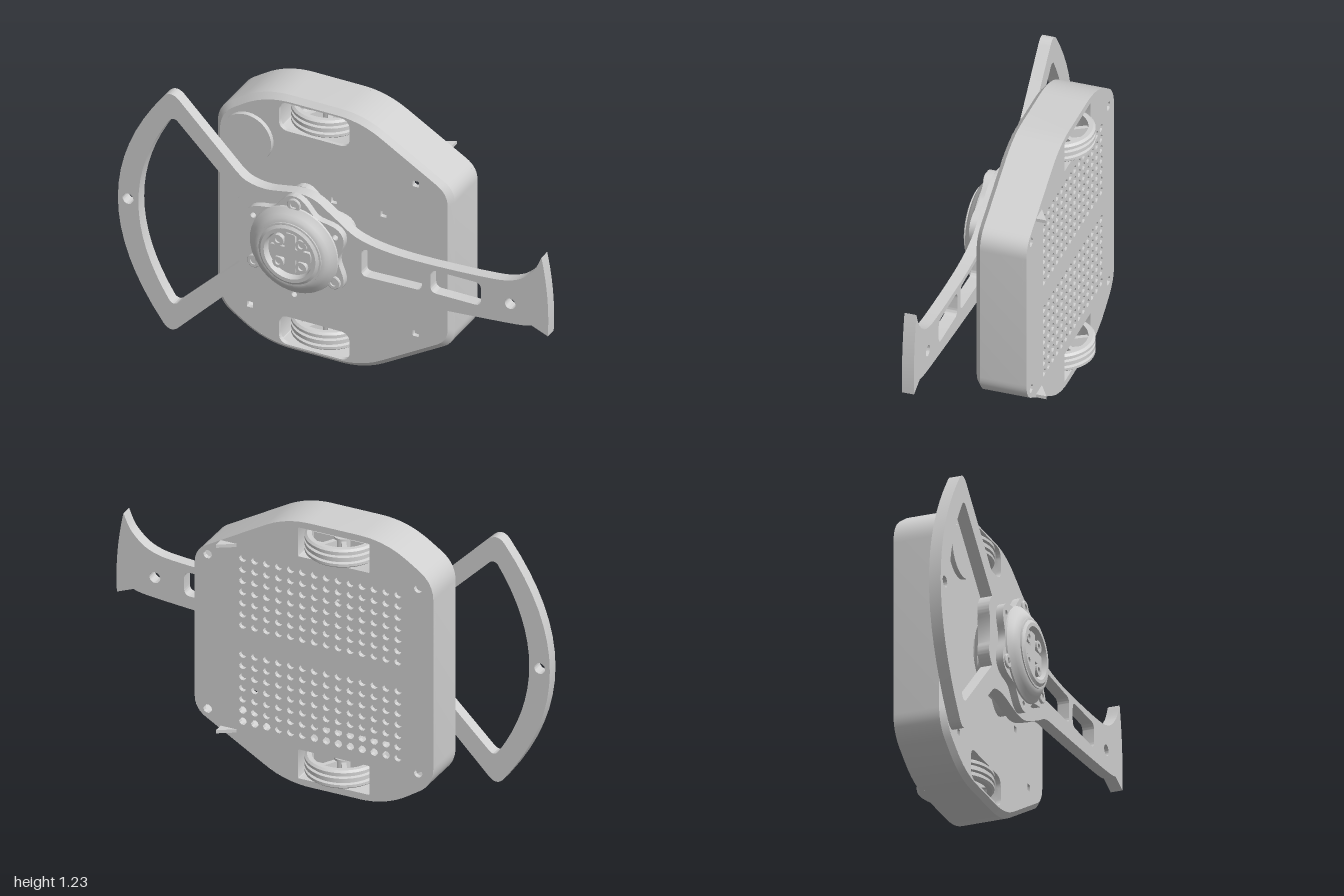
import * as THREE from 'three';
import { toCreasedNormals } from 'three/addons/utils/BufferGeometryUtils.js';

// Double-sided because the body is a thin open shell seen through its holes
const grey = new THREE.MeshStandardMaterial({ color: 0xd0d0d0, side: THREE.DoubleSide });
grey.name = 'light grey';

const MID = 0.615;                    // height of the body's symmetry line
const HUB = [-0.165, 0.622, 0.1475];  // centre of the hub

function add(parent, name, geometry, x = 0, y = 0, z = 0) {
  const mesh = new THREE.Mesh(geometry, grey);
  mesh.name = name;
  mesh.position.set(x, y, z);
  parent.add(mesh);
  return mesh;
}

// Polygon with rounded corners; each point is [x, y, cornerSize]
function roundedPoly(points, path = new THREE.Shape()) {
  const n = points.length;
  points.forEach(([x, y, r], i) => {
    const toward = ([px, py]) => {
      const d = Math.hypot(px - x, py - y);
      return [x + (px - x) * r / d, y + (py - y) * r / d];
    };
    const a = toward(points[(i + n - 1) % n]);
    const b = toward(points[(i + 1) % n]);
    if (i === 0) path.moveTo(...a); else path.lineTo(...a);
    path.quadraticCurveTo(x, y, ...b);
  });
  path.closePath();
  return path;
}

function roundedRect(x0, y0, x1, y1, r, path = new THREE.Path()) {
  return roundedPoly([[x0, y0, r], [x1, y0, r], [x1, y1, r], [x0, y1, r]], path);
}

function circle(x, y, r) {
  return new THREE.Path().absarc(x, y, r, 0, Math.PI * 2, true);
}

// Point at a radius and an angle in degrees
function polar(r, deg) {
  const t = deg * Math.PI / 180;
  return [r * Math.cos(t), r * Math.sin(t)];
}

function extrude(shape, depth, curveSegments = 10) {
  const g = new THREE.ExtrudeGeometry(shape, { depth, curveSegments, bevelEnabled: false });
  return toCreasedNormals(g, 0.6);
}

// Lathe profile of [radius, z] turned about the z axis
function latheZ(profile, segments = 48) {
  const g = new THREE.LatheGeometry(profile.map(p => new THREE.Vector2(...p)), segments);
  return toCreasedNormals(g.rotateX(Math.PI / 2), 0.5);
}

function bodyOutline(inset = 0) {
  const sx = 1 - inset / 0.55, sy = 1 - inset / MID;
  const half = [[0.48, 0.37, 0.06], [0.06, MID, 0.11], [-0.4, MID, 0.12], [-0.62, 0.47, 0.08]];
  const all = [...half, ...half.slice().reverse().map(([x, y, r]) => [x, -y, r])];
  return roundedPoly(all.map(([x, y, r]) => [-0.07 + (x + 0.07) * sx, MID + y * sy, r]));
}

function buildBody() {
  const body = new THREE.Group();
  body.name = 'body';

  // Side wall with a chamfered front edge
  const rings = [[0, -0.19], [0, 0.013], [0.022, 0.035]].map(([inset, z]) =>
    bodyOutline(inset).getPoints(8).map(p => [p.x, p.y, z]));
  const pos = [];
  for (let k = 0; k < 2; k++) {
    const a = rings[k], b = rings[k + 1];
    for (let i = 0; i < a.length; i++) {
      const j = (i + 1) % a.length;
      pos.push(...a[i], ...a[j], ...b[j], ...a[i], ...b[j], ...b[i]);
    }
  }
  const wall = new THREE.BufferGeometry();
  wall.setAttribute('position', new THREE.Float32BufferAttribute(pos, 3));
  add(body, 'sideWall', toCreasedNormals(wall, 0.5));

  const slots = [1.065, 0.03].map(y => [-0.325, y, 0.003, y + 0.135]);

  // Front plate with rounded wheel slots and small square holes
  const front = bodyOutline(0.022);
  slots.forEach(s => front.holes.push(roundedRect(...s, 0.045)));
  [[0.31, 0.98], [0.31, 0.255], [0.16, 0.79], [0.16, 0.455], [-0.07, 0.79], [-0.46, 0.175]].forEach(([x, y]) =>
    front.holes.push(roundedRect(x - 0.014, y - 0.014, x + 0.014, y + 0.014, 0.003)));
  add(body, 'frontPlate', extrude(front, 0.02), 0, 0, 0.015);

  // Back plate with two perforated blocks, corner screw holes and square wheel slots
  const back = bodyOutline();
  slots.forEach(s => back.holes.push(roundedRect(...s, 0.004)));
  for (const side of [-1, 1]) {
    for (let c = 0; c < 14; c++) {
      for (let r = 0; r < 7; r++) {
        back.holes.push(circle(-0.457 + c * 0.055, MID + side * (0.068 + r * 0.052), 0.0175));
      }
    }
    back.holes.push(circle(0.42, MID + side * 0.36, 0.02), circle(-0.55, MID + side * 0.43, 0.02));
  }
  add(body, 'backPlate', extrude(back, 0.02, 5), 0, 0, -0.19);

  // Wheel wells
  slots.forEach(([x0, y0, x1, y1]) => {
    const well = roundedRect(x0 - 0.01, y0 - 0.01, x1 + 0.01, y1 + 0.01, 0.01, new THREE.Shape());
    well.holes.push(roundedRect(x0, y0, x1, y1, 0.004));
    add(body, 'wheelWell', extrude(well, 0.205), 0, 0, -0.185);
  });

  // Round pad on the front and pointed tabs on the back
  const pad = new THREE.CylinderGeometry(0.115, 0.115, 0.025, 40).rotateX(Math.PI / 2);
  add(body, 'roundPad', pad, -0.465, 0.99, 0.0435);
  const tab = new THREE.Shape([[0.27, 0.18], [0.36, 0.18], [0.36, 0.235]].map(p => new THREE.Vector2(...p)));
  for (const y of [1.04, 0.175]) add(body, 'tab', extrude(tab, 0.015).rotateX(-Math.PI / 2), 0, y, 0);
  return body;
}

// Ribbed wheel turning about the y axis
function buildWheel(y, inward) {
  const wheel = new THREE.Group();
  wheel.name = 'wheel';
  const profile = [[0.13, -0.042], [0.15, -0.042], [0.16, -0.034], [0.16, -0.022], [0.148, -0.018],
    [0.148, -0.012], [0.16, -0.008], [0.16, 0.008], [0.148, 0.012], [0.148, 0.018], [0.16, 0.022],
    [0.16, 0.034], [0.15, 0.042], [0.13, 0.042], [0.13, -0.042]];
  const tyre = new THREE.LatheGeometry(profile.map(p => new THREE.Vector2(...p)), 48);
  add(wheel, 'tyre', toCreasedNormals(tyre, 0.5));
  add(wheel, 'wheelHub', new THREE.CylinderGeometry(0.04, 0.04, 0.06, 20));
  for (let i = 0; i < 6; i++) {
    const spoke = new THREE.BoxGeometry(0.11, 0.04, 0.02).translate(0.08, 0, 0);
    add(wheel, 'spoke', spoke).rotation.y = i * Math.PI / 3;
  }
  add(wheel, 'axle', new THREE.CylinderGeometry(0.015, 0.015, 0.08, 12), 0, inward * 0.035, 0);
  wheel.position.set(-0.16, y, -0.1);
  return wheel;
}

// Flat handle plate: open grip on one side, flared arm on the other
function buildHandle() {
  const v = list => list.map(p => new THREE.Vector2(...p));
  const s = new THREE.Shape();
  s.moveTo(-0.79, 1.165);
  s.quadraticCurveTo(-1.21, 0.62, -0.79, 0.07);
  s.quadraticCurveTo(-0.755, 0.024, -0.715, 0.068);
  s.lineTo(-0.45, 0.338);
  s.splineThru(v([[-0.4, 0.374], [-0.31, 0.384], [-0.165, 0.364], [-0.07, 0.372], [0.06, 0.428],
    [0.155, 0.474], [0.275, 0.486], [0.54, 0.505], [0.84, 0.53], [0.92, 0.545]]));
  s.lineTo(0.995, 0.515);
  s.quadraticCurveTo(1.005, 0.7, 0.965, 0.888);
  s.splineThru(v([[0.925, 0.81], [0.84, 0.743], [0.69, 0.717], [0.33, 0.705], [0.125, 0.732],
    [0.01, 0.8], [-0.08, 0.86], [-0.165, 0.875], [-0.31, 0.853], [-0.4, 0.866], [-0.45, 0.9]]));
  s.lineTo(-0.715, 1.166);
  s.quadraticCurveTo(-0.755, 1.206, -0.79, 1.165);

  const grip = new THREE.Path();
  grip.moveTo(-0.76, 1.06);
  grip.quadraticCurveTo(-0.74, 1.08, -0.72, 1.06);
  grip.lineTo(-0.435, 0.78);
  grip.quadraticCurveTo(-0.485, 0.735, -0.46, 0.68);
  grip.lineTo(-0.46, 0.564);
  grip.quadraticCurveTo(-0.485, 0.51, -0.435, 0.465);
  grip.lineTo(-0.72, 0.184);
  grip.quadraticCurveTo(-0.74, 0.165, -0.76, 0.184);
  grip.quadraticCurveTo(-1.05, 0.622, -0.76, 1.06);
  s.holes.push(grip, circle(-0.953, 0.622, 0.025), circle(0.82, 0.622, 0.025),
    roundedPoly([[0.13, 0.56, 0.025], [0.41, 0.568, 0.025], [0.41, 0.68, 0.025], [0.13, 0.692, 0.025]], new THREE.Path()),
    roundedRect(0.45, 0.572, 0.685, 0.682, 0.03));
  const handle = new THREE.Group();
  handle.name = 'handle';
  add(handle, 'handlePlate', extrude(s, 0.052, 16), 0, 0, 0.1215);
  return handle;
}

// One half of the hub, facing +z from the middle of the handle plate
function buildHubHalf() {
  const half = new THREE.Group();
  half.name = 'hubHalf';

  // Six-lobed flange with small holes between the bolts
  const star = [];
  for (let deg = 0; deg < 360; deg += 4) {
    star.push(new THREE.Vector2(...polar(0.229 - 0.026 * Math.cos(deg * Math.PI / 30), deg)));
  }
  const flange = new THREE.Shape(star);
  for (const deg of [30, 150, 270]) flange.holes.push(circle(...polar(0.22, deg), 0.013));
  add(half, 'flange', extrude(flange, 0.0325), 0, 0, 0.025);

  // Dome flaring out to the flange, with a recessed face
  add(half, 'dome', latheZ([[0.205, 0.057], [0.203, 0.064], [0.19, 0.073], [0.178, 0.084], [0.165, 0.095], [0.149, 0.102],
    [0.149, 0.107], [0.14, 0.107], [0.128, 0.1155], [0.112, 0.1155], [0.106, 0.085], [0, 0.085]]));

  // Low socket bolts on the flange
  for (const deg of [90, 210, 330]) {
    add(half, 'bolt', latheZ([[0.031, 0.05], [0.031, 0.064], [0.027, 0.067], [0.015, 0.067], [0.015, 0.06], [0, 0.06]], 20),
      ...polar(0.214, deg));
  }

  // Coupling cross and four bolts in the recess
  const cross = roundedRect(-0.095, -0.025, 0.095, 0.025, 0.012, new THREE.Shape());
  for (const turn of [0, Math.PI / 2]) {
    add(half, 'couplingBar', extrude(cross, 0.015).rotateZ(turn), 0, 0, 0.083);
  }
  for (const deg of [45, 135, 225, 315]) {
    add(half, 'couplingBolt', latheZ([[0.026, 0.08], [0.026, 0.104], [0.013, 0.104], [0.013, 0.094], [0, 0.094]], 16),
      ...polar(0.075, deg));
  }
  return half;
}

export function createModel() {
  const model = new THREE.Group();
  model.name = 'wheeledBaseWithHandle';
  model.add(buildBody(), buildWheel(1.13, -1), buildWheel(0.1, 1), buildHandle());
  for (const turn of [0, Math.PI]) {
    const half = buildHubHalf();
    half.position.set(...HUB);
    half.rotation.y = turn;
    model.add(half);
  }
  return model;
}
